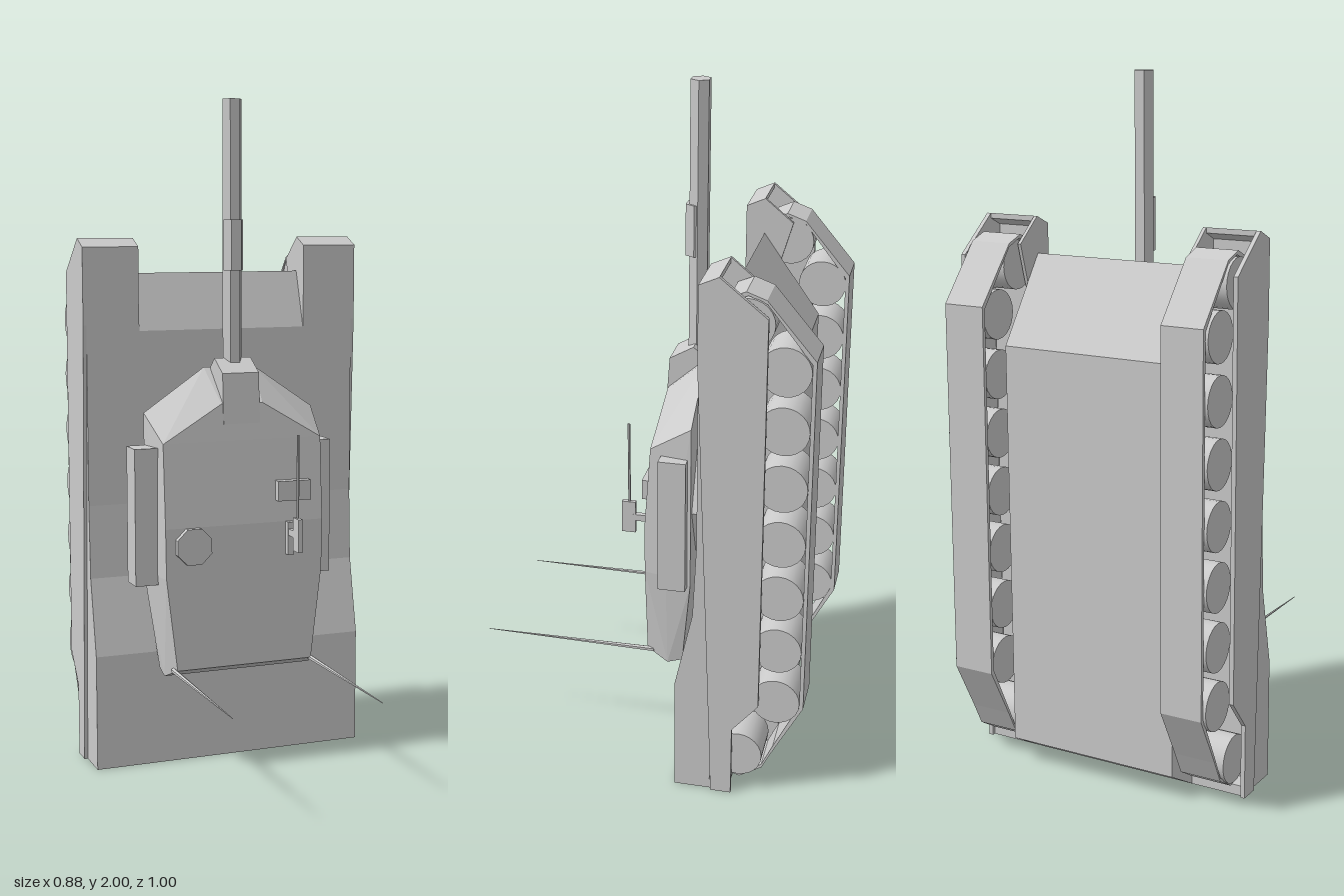
import * as THREE from 'three';
import { ConvexGeometry } from 'three/addons/geometries/ConvexGeometry.js';

const mat = new THREE.MeshStandardMaterial({ color: 0xcccccc, side: THREE.DoubleSide });
const flat = new THREE.MeshStandardMaterial({ color: 0xcccccc, flatShading: true });

export function createModel() {
  const model = new THREE.Group();

  function add(name, geometry, material = mat) {
    const mesh = new THREE.Mesh(geometry, material);
    mesh.name = name;
    model.add(mesh);
    return mesh;
  }
  // box given by its limits on each axis
  function box(name, x0, x1, y0, y1, z0, z1) {
    const g = new THREE.BoxGeometry(x1 - x0, y1 - y0, z1 - z0);
    return add(name, g.translate((x0 + x1) / 2, (y0 + y1) / 2, (z0 + z1) / 2));
  }
  // side profile of [z, y] points, extruded from x0 to x1
  function slab(name, points, x0, x1, hole) {
    const toVectors = (list) => list.map(([z, y]) => new THREE.Vector2(z, y));
    const shape = new THREE.Shape(toVectors(points));
    if (hole) shape.holes.push(new THREE.Path(toVectors(hole)));
    const g = new THREE.ExtrudeGeometry(shape, { depth: x1 - x0, bevelEnabled: false });
    return add(name, g.rotateY(-Math.PI / 2).translate(x1, 0, 0));
  }
  // runs a slab on both sides
  function slabPair(name, points, x0, x1, hole) {
    slab(name + 'Left', points, x0, x1, hole);
    slab(name + 'Right', points, -x1, -x0, hole);
  }

  // hull: the tank stands on its tail, nose toward +y, deck toward +z
  const deck = [[-0.13, 0], [-0.13, 0.35], [-0.18, 0.58], [-0.19, 0.8]];
  slab('lowerHull', [...deck, [-0.19, 1.32], [-0.245, 1.49], [-0.415, 1.25],
    [-0.41, 0.07], [-0.29, 0]], -0.265, 0.265);
  slabPair('sponson', [...deck, [-0.19, 1.34], [-0.235, 1.34], [-0.235, 0.03],
    [-0.29, 0.03], [-0.29, 0]], 0.265, 0.428);

  // front mudguards and side skirts
  slabPair('mudguard', [[-0.19, 1.34], [-0.19, 1.57], [-0.245, 1.595], [-0.245, 1.58],
    [-0.203, 1.56], [-0.203, 1.34]], 0.27, 0.437);
  slabPair('mudguardInnerPlate', [[-0.19, 1.32], [-0.19, 1.57], [-0.245, 1.595],
    [-0.33, 1.525], [-0.27, 1.32]], 0.266, 0.276);
  slabPair('skirt', [[-0.24, 0], [-0.235, 0.15], [-0.19, 1.34], [-0.19, 1.57], [-0.245, 1.595],
    [-0.375, 1.49], [-0.375, 0.31], [-0.30, 0.22], [-0.30, 0]], 0.425, 0.438);

  // tracks as thin closed bands
  const band = [[-0.5, 0.3], [-0.5, 1.37], [-0.365, 1.53], [-0.31, 1.55], [-0.265, 1.53],
    [-0.25, 1.48], [-0.25, 0.1], [-0.27, 0.055], [-0.32, 0.04], [-0.385, 0.08], [-0.42, 0.15]];
  const inner = band.map(([z, y]) => [-0.375 + (z + 0.375) * 0.91, 0.8 + (y - 0.8) * 0.986]);
  slabPair('track', band, 0.28, 0.405, inner);

  // wheels: idler, seven road wheels, sprocket
  const wheels = [[-0.32, 1.465]];
  for (let i = 0; i < 7; i++) wheels.push([-0.42, 0.318 + i * 0.17]);
  wheels.push([-0.315, 0.122]);
  for (const side of [-1, 1]) {
    for (const [z, y] of wheels) {
      const g = new THREE.CylinderGeometry(0.07, 0.07, 0.13, 24).rotateZ(Math.PI / 2);
      add('wheel', g).position.set(side * 0.348, y, z);
    }
  }

  // turret ring
  add('turretRing', new THREE.CylinderGeometry(0.255, 0.255, 0.07, 8).rotateX(Math.PI / 2), flat)
    .position.set(0, 0.81, -0.165);

  // faceted turret: half outlines at three heights, [x, y, z]
  const half = [
    [0.215, 0.32, 0], [0.248, 0.6, 0], [0.25, 0.75, 0], [0.25, 1.0, -0.018], [0.065, 1.11, -0.027],
    [0.235, 0.29, -0.065], [0.262, 0.6, -0.065],
    [0.235, 0.305, -0.11], [0.27, 0.58, -0.14], [0.27, 1.08, -0.14], [0.08, 1.21, -0.14],
  ];
  const hullPoints = half.flatMap(([x, y, z]) =>
    [new THREE.Vector3(x, y, z), new THREE.Vector3(-x, y, z)]);
  add('turret', new ConvexGeometry(hullPoints));
  slab('mantlet', [[-0.02, 1.05], [-0.03, 1.2], [-0.10, 1.24], [-0.135, 1.21], [-0.135, 1.05]],
    -0.06, 0.055);

  // stowage boxes on the turret sides
  box('stowageBoxLeft', 0.23, 0.297, 0.575, 0.985, -0.13, -0.05);
  box('stowageBoxRight', -0.327, -0.23, 0.575, 0.985, -0.13, -0.05);

  // hexagonal gun with a sleeve
  const hex = (r, length) => new THREE.CylinderGeometry(r, r, length, 6).rotateY(Math.PI / 6);
  add('gunBarrel', hex(0.03, 0.8), flat).position.set(-0.002, 1.6, -0.103);
  add('gunSleeve', hex(0.031, 0.15), flat).position.set(-0.002, 1.575, -0.093);

  // roof fittings
  const hatch = new THREE.CylinderGeometry(0.058, 0.058, 0.03, 8).rotateX(Math.PI / 2);
  add('hatch', hatch.rotateZ(Math.PI / 8), flat).position.set(-0.165, 0.695, 0.003);
  box('sightBox', 0.1, 0.205, 0.815, 0.875, -0.01, 0.018);

  // machine gun on its post
  box('machineGunPost', 0.132, 0.148, 0.71, 0.73, -0.01, 0.06);
  box('machineGunFoot', 0.13, 0.15, 0.65, 0.75, -0.005, 0.02);
  box('machineGunBody', 0.133, 0.147, 0.67, 0.77, 0.052, 0.093);
  add('machineGunBarrel', new THREE.CylinderGeometry(0.004, 0.004, 0.26, 6), flat)
    .position.set(0.14, 0.89, 0.071);

  // tapered whip antennas
  for (const [x, tip] of [[-0.222, 0.48], [0.217, 0.5]]) {
    const g = new THREE.CylinderGeometry(0.001, 0.008, tip + 0.02, 6).rotateX(Math.PI / 2);
    add('antenna', g, flat).position.set(x, 0.318, tip / 2 - 0.01);
  }
  return model;
}
